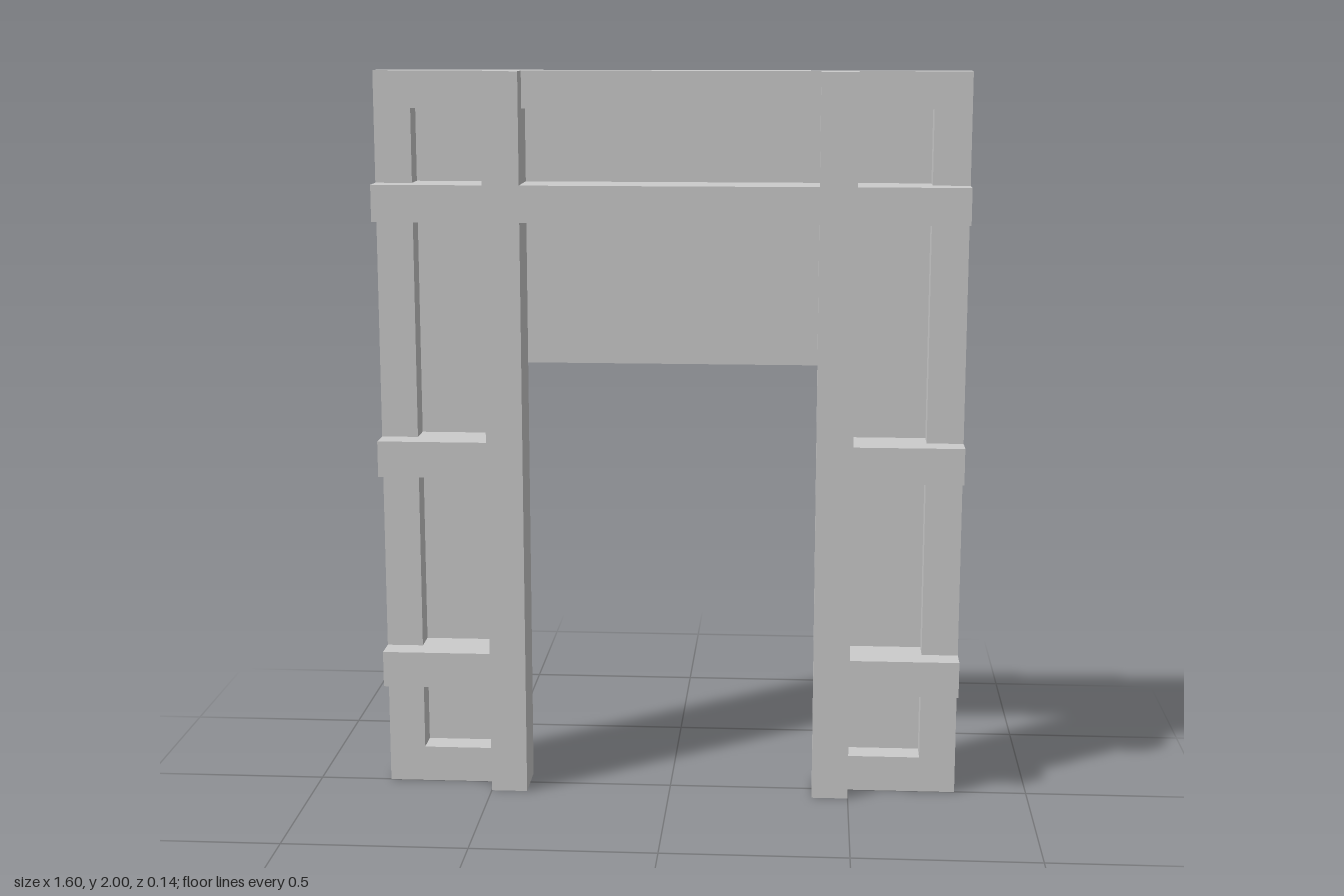
import * as THREE from 'three';

// Depth of each layer of the pressed, open-backed shell
const FRONT = 0.072, MID = 0.002, BACK = -0.072;

// Lines on which the layers change
const XS = [-0.8, -0.7, -0.5, -0.4, 0.4, 0.5, 0.7, 0.8];
const YS = [0, 0.1, 0.3, 0.4, 0.9, 1, 1.2, 1.6, 1.7, 1.9, 2];
const RAILS = { lowerRail: [0.3, 0.4], middleRail: [0.9, 1], upperRail: [1.6, 1.7] };

// Which part covers a point of the front, and at what depth (null = open air)
function partAt(x, y) {
  const ax = Math.abs(x), side = x > 0 ? 'left' : 'right';
  if (ax > 0.8 || y < 0 || y > 2 || (ax < 0.4 && y < 1.2)) return null;
  if (ax > 0.4 && ax < 0.5) return { name: side + 'Post', z: FRONT };
  for (const [name, [low, high]] of Object.entries(RAILS)) {
    if (y > low && y < high) return { name, z: FRONT };
  }
  if (ax > 0.7 || y > 1.9 || y < 0.1) return { name: 'outerBorder', z: MID };
  return { name: ax < 0.4 ? 'lintelPanel' : side + 'SunkenPanel', z: BACK };
}

export function createModel() {
  const group = new THREE.Group();
  group.name = 'doorway';
  const material = new THREE.MeshStandardMaterial({
    color: 0xcccccc, flatShading: true, side: THREE.DoubleSide,
  });
  const parts = {};
  const quad = (name, a, b, c, d) => {
    (parts[name] ??= []).push(...a, ...b, ...c, ...a, ...c, ...d);
  };

  for (let i = 0; i < XS.length - 1; i++) {
    for (let j = 0; j < YS.length - 1; j++) {
      const x0 = XS[i], x1 = XS[i + 1], y0 = YS[j], y1 = YS[j + 1];
      const cx = (x0 + x1) / 2, cy = (y0 + y1) / 2;
      const part = partAt(cx, cy);
      if (!part) continue;
      const { name, z } = part;

      // Front face
      quad(name, [x0, y0, z], [x1, y0, z], [x1, y1, z], [x0, y1, z]);

      // Side walls, dropped to a lower neighbour or to the open back
      const edges = [
        [x0, y0, x1, y0, cx, y0 - 0.01],
        [x1, y0, x1, y1, x1 + 0.01, cy],
        [x1, y1, x0, y1, cx, y1 + 0.01],
        [x0, y1, x0, y0, x0 - 0.01, cy],
      ];
      for (const [ax, ay, bx, by, nx, ny] of edges) {
        const low = partAt(nx, ny)?.z ?? BACK;
        if (low < z) quad(name, [ax, ay, low], [bx, by, low], [bx, by, z], [ax, ay, z]);
      }
    }
  }

  // One mesh per named part
  for (const [name, points] of Object.entries(parts)) {
    const geometry = new THREE.BufferGeometry();
    geometry.setAttribute('position', new THREE.Float32BufferAttribute(points, 3));
    geometry.computeVertexNormals();
    const mesh = new THREE.Mesh(geometry, material);
    mesh.name = name;
    group.add(mesh);
  }
  return group;
}
